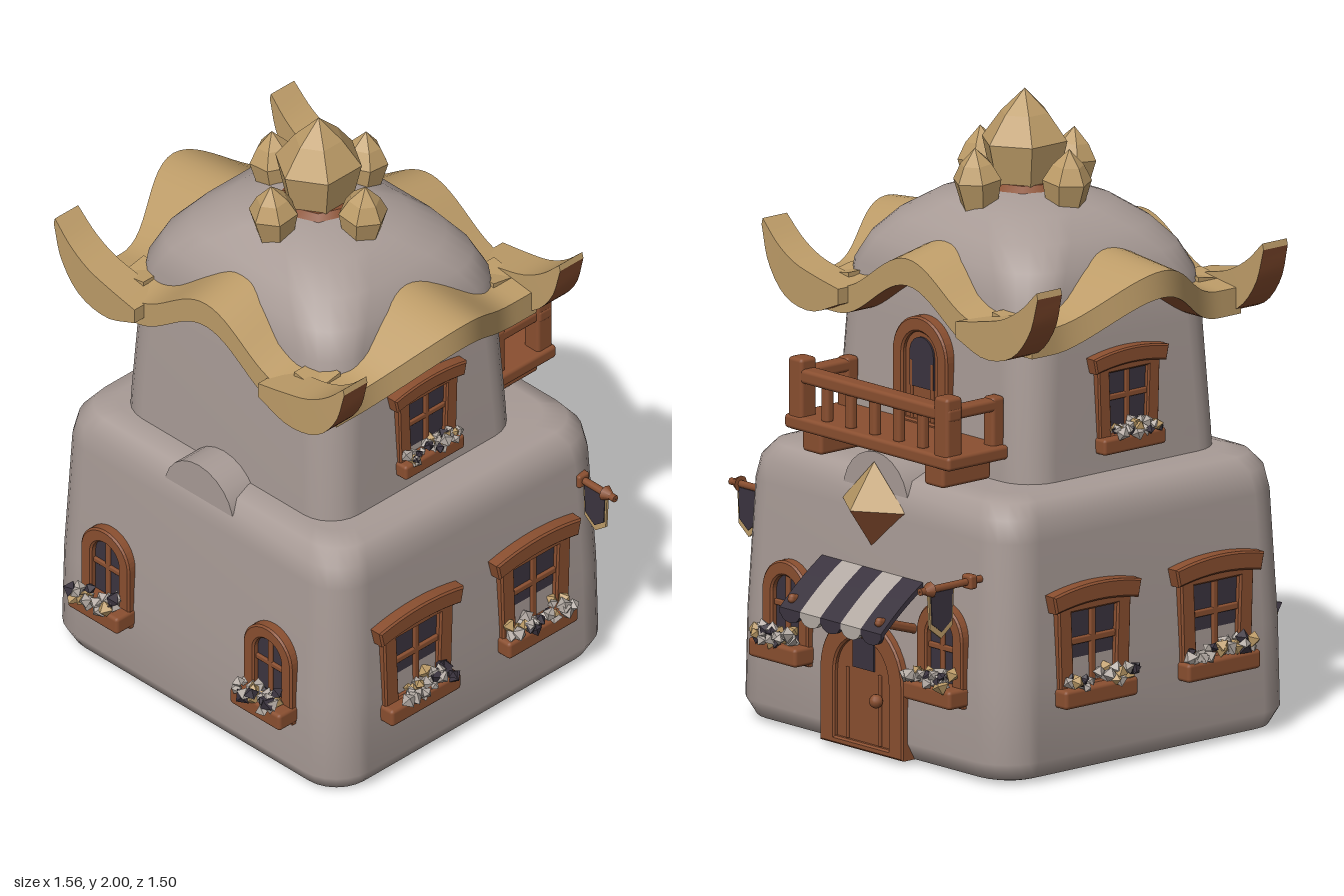
import * as THREE from 'three';
import { RoundedBoxGeometry } from 'three/addons/geometries/RoundedBoxGeometry.js';

const mat = (name, color) => new THREE.MeshStandardMaterial({ name, color });

export function createModel() {
  const root = new THREE.Group();
  root.name = 'house';
  const plaster = mat('plaster', 0xa89b96), tan = mat('tan', 0xbd9c68), wood = mat('wood', 0x8a4f30);
  const dark = mat('darkCloth', 0x3b343f), pale = mat('paleCloth', 0xb3aaa3);

  let seed = 7;
  const rnd = () => (seed = (seed * 16807) % 2147483647) / 2147483647;

  const add = (parent, name, geo, material, x = 0, y = 0, z = 0) => {
    const m = new THREE.Mesh(geo, material);
    m.name = name;
    m.position.set(x, y, z);
    parent.add(m);
    return m;
  };
  const group = (parent, name, x = 0, y = 0, z = 0, ry = 0) => {
    const g = new THREE.Group();
    g.name = name;
    g.position.set(x, y, z);
    g.rotation.y = ry;
    parent.add(g);
    return g;
  };
  const rbox = (w, h, d, r = 0.012) => new RoundedBoxGeometry(w, h, d, 2, r);
  const extrude = (shape, depth, bevel = 0.006) => new THREE.ExtrudeGeometry(shape, {
    depth, bevelEnabled: bevel > 0, bevelSize: bevel, bevelThickness: bevel, bevelSegments: 1, curveSegments: 10 });
  const poly = pts => new THREE.Shape(pts.map(p => new THREE.Vector2(...p)));
  const faceted = geo => { const g = geo.toNonIndexed(); g.computeVertexNormals(); return g; };

  // Stacked rounded rectangles: levels are [y, halfX, halfZ, cornerRadius]
  function loft(levels) {
    const pos = [], idx = [], k = 7, n = 4 * k;
    for (const [y, hx, hz, r] of levels)
      for (let c = 0; c < 4; c++) for (let i = 0; i < k; i++) {
        const a = (c + i / (k - 1)) * Math.PI / 2;
        const sx = c === 0 || c === 3 ? 1 : -1, sz = c < 2 ? 1 : -1;
        pos.push(sx * (hx - r) + r * Math.cos(a), y, sz * (hz - r) + r * Math.sin(a));
      }
    for (let l = 0; l < levels.length - 1; l++) for (let j = 0; j < n; j++) {
      const a = l * n + j, b = l * n + (j + 1) % n, c = a + n, d = b + n;
      idx.push(a, c, d, a, d, b);
    }
    const g = new THREE.BufferGeometry();
    g.setAttribute('position', new THREE.Float32BufferAttribute(pos, 3));
    g.setIndex(idx);
    g.computeVertexNormals();
    return g;
  }

  // Four-cornered section swept by f(t); the fourth side is the underside (group 1)
  function band(n, f) {
    const pos = [], idx = [], g = new THREE.BufferGeometry();
    const rings = Array.from({ length: n + 1 }, (_, i) => f(i / n));
    const cap = (ring, order) => {
      const o = pos.length / 3;
      order.forEach(q => pos.push(...ring[q]));
      idx.push(o, o + 1, o + 2, o, o + 2, o + 3);
    };
    cap(rings[0], [0, 3, 2, 1]);
    cap(rings[n], [0, 1, 2, 3]);
    for (let s = 0; s < 4; s++) {
      const o = pos.length / 3;
      rings.forEach(r => pos.push(...r[s], ...r[(s + 1) % 4]));
      for (let i = 0; i < n; i++) {
        const a = o + 2 * i;
        idx.push(a, a + 1, a + 3, a, a + 3, a + 2);
      }
    }
    g.setAttribute('position', new THREE.Float32BufferAttribute(pos, 3));
    g.setIndex(idx);
    g.addGroup(0, idx.length - 6 * n, 0);
    g.addGroup(idx.length - 6 * n, 6 * n, 1);
    g.computeVertexNormals();
    return g;
  }

  // Walls and dome
  add(root, 'lowerStorey', loft([[0, 0, 0, 0], [0, 0.53, 0.565, 0.1], [0.015, 0.575, 0.61, 0.12], [0.07, 0.605, 0.64, 0.14],
    [0.35, 0.6, 0.636, 0.14], [0.76, 0.575, 0.62, 0.13], [0.83, 0.565, 0.605, 0.13], [0.875, 0.53, 0.57, 0.12],
    [0.89, 0.47, 0.51, 0.1], [0.89, 0, 0, 0]]), plaster, -0.06, 0, -0.01);
  add(root, 'wallCrest', new THREE.CylinderGeometry(0.15, 0.15, 1.13, 24).rotateZ(Math.PI / 2), plaster, -0.06, 0.8, -0.01);
  const upper = group(root, 'upperStorey', -0.105, 0, -0.015);
  add(upper, 'upperWallsAndDome', loft([[0.85, 0.415, 0.475, 0.12], [0.95, 0.412, 0.47, 0.12], [1.3, 0.395, 0.455, 0.13],
    [1.45, 0.385, 0.44, 0.14], [1.53, 0.355, 0.41, 0.16], [1.6, 0.305, 0.355, 0.18], [1.66, 0.23, 0.27, 0.18],
    [1.695, 0.13, 0.15, 0.12], [1.7, 0, 0, 0]]), plaster);

  // Waved eaves
  const eave = (half, arch, out, bulge) => band(32, t => {
    const x = (2 * t - 1) * half, u = x / arch;
    const b = Math.abs(u) < 1 ? 0.5 + 0.5 * Math.cos(Math.PI * u) : 0;
    const y = 1.395 + 0.145 * b, z = out + bulge * b;
    return [[x, y - 0.085, 0.33], [x, y + 0.03, 0.33], [x, y, z], [x, y - 0.085, z]];
  });
  for (let i = 0; i < 4; i++) {
    const m = add(upper, 'eave', i % 2 ? eave(0.43, 0.32, 0.485, 0.0) : eave(0.43, 0.34, 0.515, 0.12), [tan, wood]);
    m.rotation.y = i * Math.PI / 2;
  }

  // Upturned corner horns
  const curve = pts => new THREE.CatmullRomCurve3(pts.map(([z, y]) => new THREE.Vector3(0, y, z)));
  const low = curve([[0.27, 1.35], [0.4, 1.305], [0.52, 1.33], [0.6, 1.42], [0.635, 1.535]]);
  const high = curve([[0.27, 1.4], [0.38, 1.42], [0.48, 1.445], [0.56, 1.49], [0.63, 1.555]]);
  const horn = band(14, t => {
    const a = low.getPoint(t), b = high.getPoint(t), w = 0.062 - 0.012 * t;
    return [[w, a.y, a.z], [w, b.y, b.z], [-w, b.y, b.z], [-w, a.y, a.z]];
  });
  for (const sx of [-1, 1]) for (const ry of [0, Math.PI])
    add(upper, 'cornerHorn', horn, [tan, wood], sx * 0.465).rotation.y = ry;

  // Crown of crystals
  const crystal = pts => faceted(new THREE.LatheGeometry(pts.map(p => new THREE.Vector2(...p)), 6));
  add(upper, 'mainCrystal', crystal([[0, 0], [0.1, 0], [0.145, 0.19], [0.08, 0.275], [0, 0.35]]).rotateY(Math.PI / 2).scale(1, 1, 0.92), tan, 0, 1.65, 0);
  add(upper, 'crownBase', new THREE.CylinderGeometry(0.11, 0.16, 0.05, 8), wood, 0, 1.69, 0);
  for (let i = 0; i < 4; i++) {
    const g = group(upper, 'crownSide', 0, 0, 0, i * Math.PI / 2);
    const c = add(g, 'sideCrystal', crystal([[0, 0], [0.055, 0], [0.078, 0.1], [0.05, 0.15], [0, 0.2]]), tan, 0, 1.645, 0.185);
    c.rotation.x = 0.1;
  }

  // Flower boxes, windows and doors are built facing +z with the wall at z = 0
  function flowerBox(parent, w, depth) {
    add(parent, 'flowerBox', rbox(w, 0.06, depth + 0.04), wood, 0, 0.03, depth / 2 - 0.02);
    for (let i = 0; i < 30; i++) {
      const r = 0.016 + 0.013 * rnd();
      const f = add(parent, 'flower', new THREE.OctahedronGeometry(r), [pale, pale, tan, pale, dark][i % 5],
        (rnd() - 0.5) * (w - 0.05), 0.065 + 0.04 * rnd(), depth - 0.045 + 0.065 * rnd());
      f.rotation.set(rnd() * 3, rnd() * 3, rnd() * 3);
    }
  }
  const archPath = (P, w, h, y = 0) => {
    const p = new P();
    p.moveTo(-w / 2, y);
    p.lineTo(w / 2, y);
    p.lineTo(w / 2, h - w / 2);
    p.absarc(0, h - w / 2, w / 2, 0, Math.PI, false);
    p.closePath();
    return p;
  };
  const archFrame = (w, h, t, y) => {
    const s = archPath(THREE.Shape, w, h);
    s.holes.push(archPath(THREE.Path, w - 2 * t, h - t, y));
    return s;
  };
  function squareWindow(x, y, z, ry, scale) {
    const g = group(root, 'squareWindow', x, y, z, ry);
    g.scale.setScalar(scale);
    const s = poly([[-0.135, 0.02], [0.135, 0.02], [0.145, 0.34], [-0.145, 0.34]]);
    s.holes.push(poly([[-0.09, 0.06], [-0.1, 0.3], [0.1, 0.3], [0.09, 0.06]]));
    add(g, 'frame', extrude(s, 0.05), wood, 0, 0, -0.035);
    add(g, 'pane', new THREE.BoxGeometry(0.22, 0.26, 0.008), dark, 0, 0.18, -0.002);
    add(g, 'mullion', rbox(0.022, 0.26, 0.02, 0.005), wood, 0, 0.18, 0.002);
    add(g, 'crossbar', rbox(0.22, 0.022, 0.02, 0.005), wood, 0, 0.2, 0.002);
    const l = new THREE.Shape();
    l.moveTo(-0.165, 0.31);
    l.lineTo(-0.175, 0.355);
    l.quadraticCurveTo(0, 0.395, 0.175, 0.355);
    l.lineTo(0.165, 0.31);
    l.quadraticCurveTo(0, 0.345, -0.165, 0.31);
    add(g, 'lintel', extrude(l, 0.065), wood, 0, 0, -0.035);
    flowerBox(g, 0.3, 0.055);
  }
  function archWindow(x, z, ry) {
    const g = group(root, 'archWindow', x, 0.235, z, ry);
    add(g, 'frame', extrude(archFrame(0.2, 0.305, 0.035, 0.03), 0.05), wood, 0, 0, -0.03);
    add(g, 'pane', extrude(archPath(THREE.Shape, 0.14, 0.28, 0.03), 0.008, 0), dark, 0, 0, -0.003);
    add(g, 'mullion', rbox(0.018, 0.24, 0.018, 0.004), wood, 0, 0.15, 0.005);
    add(g, 'crossbar', rbox(0.14, 0.018, 0.018, 0.004), wood, 0, 0.17, 0.005);
    flowerBox(g, 0.22, 0.08);
  }
  for (const x of [-0.32, 0.185]) {
    squareWindow(x, 0.23, 0.623, 0, 1);
    squareWindow(x, 0.23, -0.643, Math.PI, 1);
  }
  squareWindow(-0.105, 0.95, 0.45, 0, 0.85);
  squareWindow(-0.105, 0.95, -0.48, Math.PI, 0.85);
  for (const z of [-0.365, 0.345]) {
    archWindow(0.537, z, Math.PI / 2);
    archWindow(-0.657, z, -Math.PI / 2);
  }

  function door(name, x, y, w, h, paneW, paneY, paneH) {
    const g = group(root, name, x, y, -0.01, Math.PI / 2);
    add(g, 'doorFrame', extrude(archFrame(w, h, w * 0.15, 0.012), 0.055), wood, 0, 0, -0.035);
    add(g, 'doorLeaf', extrude(archPath(THREE.Shape, w * 0.72, h - w * 0.14), 0.03, 0), wood, 0, 0, -0.02);
    add(g, 'doorPane', paneW > 0.1 ? extrude(archPath(THREE.Shape, paneW, paneH), 0.008, 0) : new THREE.BoxGeometry(paneW, paneH, 0.008).translate(0, paneH / 2, 0.004), dark, 0, paneY, 0.008);
    for (const s of [-1, 1]) add(g, 'doorBoard', rbox(0.012, h * 0.55, 0.01, 0.003), wood, s * w * 0.2, h * 0.32, 0.012);
    return g;
  }
  const front = door('entranceDoor', 0.54, 0.02, 0.37, 0.41, 0.095, 0.25, 0.13);
  add(front, 'doorKnob', new THREE.SphereGeometry(0.022, 12, 8), wood, 0.075, 0.165, 0.03);
  door('balconyDoor', 0.3, 1.0, 0.24, 0.34, 0.11, 0.12, 0.16);

  // Striped awning with scalloped hem
  const awning = group(root, 'awning', 0, 0, -0.02);
  const w = 0.093;
  for (let i = -2; i <= 2; i++) {
    const m = i % 2 ? pale : dark, z = i * w;
    add(awning, 'stripe', band(8, t => {
      const x = 0.5 + 0.2 * t, y = 0.6 - 0.11 * t - 0.04 * t * t;
      return [[x, y - 0.02, z - w / 2], [x, y, z - w / 2], [x, y, z + w / 2], [x, y - 0.02, z + w / 2]];
    }), [m, m]);
    const hem = new THREE.Shape();
    hem.moveTo(-w / 2, 0.45);
    hem.quadraticCurveTo(-w / 2, 0.41, 0, 0.408);
    hem.quadraticCurveTo(w / 2, 0.41, w / 2, 0.45);
    add(awning, 'hem', extrude(hem, 0.015, 0).rotateY(Math.PI / 2), m, 0.685, 0, z);
  }
  for (const s of [-1, 1]) add(awning, 'bracket', rbox(0.19, 0.03, 0.025), wood, 0.6, 0.455, s * 0.2).rotation.z = 0.3;

  // Diamond ornament with one dark facet
  const gem = new THREE.OctahedronGeometry(1).scale(0.1, 0.14, 0.145);
  gem.computeVertexNormals();
  gem.addGroup(0, 6, 0);
  gem.addGroup(6, 3, 1);
  gem.addGroup(9, 15, 0);
  add(root, 'diamondOrnament', gem, [tan, wood], 0.51, 0.78, -0.01);

  // Balcony
  const balcony = group(root, 'balcony', 0, 0, -0.012);
  add(balcony, 'floor', rbox(0.25, 0.045, 0.76), wood, 0.42, 0.985, 0);
  add(balcony, 'handrail', rbox(0.06, 0.045, 0.74), wood, 0.508, 1.135, 0);
  for (const s of [-1, 1]) {
    add(balcony, 'joist', rbox(0.2, 0.07, 0.09), wood, 0.42, 0.93, s * 0.28);
    add(balcony, 'endPost', rbox(0.065, 0.23, 0.065), wood, 0.508, 1.075, s * 0.335);
    add(balcony, 'sideRail', rbox(0.2, 0.04, 0.05), wood, 0.4, 1.135, s * 0.335);
    add(balcony, 'wallPost', rbox(0.05, 0.2, 0.05), wood, 0.32, 1.06, s * 0.335);
  }
  for (let i = -2; i <= 2; i++) add(balcony, 'baluster', rbox(0.032, 0.13, 0.034), wood, 0.508, 1.065, i * 0.11);

  // Hanging banners on poles
  function banner(x, y, z, ry, len) {
    const g = group(root, 'banner', x, y, z, ry);
    add(g, 'pole', new THREE.CylinderGeometry(0.012, 0.012, len, 8).rotateX(Math.PI / 2), wood, 0, 0, len / 2);
    add(g, 'wallMount', rbox(0.045, 0.045, 0.03, 0.008), wood, 0, 0, len * 0.3 - 0.03);
    add(g, 'finial', new THREE.ConeGeometry(0.026, 0.05, 8).rotateX(Math.PI / 2), wood, 0, 0, len - 0.02);
    const cloth = (s, d) => extrude(poly([[-0.052 * s, -0.01], [0.052 * s, -0.01], [0.046 * s, -0.125 * s],
      [0, -0.16 * s], [-0.046 * s, -0.125 * s]]), d, 0).translate(0, 0, -d / 2).rotateY(-Math.PI / 2);
    add(g, 'clothBorder', cloth(1, 0.008), tan, 0, 0, len - 0.085);
    add(g, 'cloth', cloth(0.87, 0.014), dark, 0, 0, len - 0.085);
  }
  banner(0.41, 0.695, 0.59, 0, 0.17);
  banner(0.52, 0.645, -0.51, Math.PI / 2, 0.25);

  return root;
}
